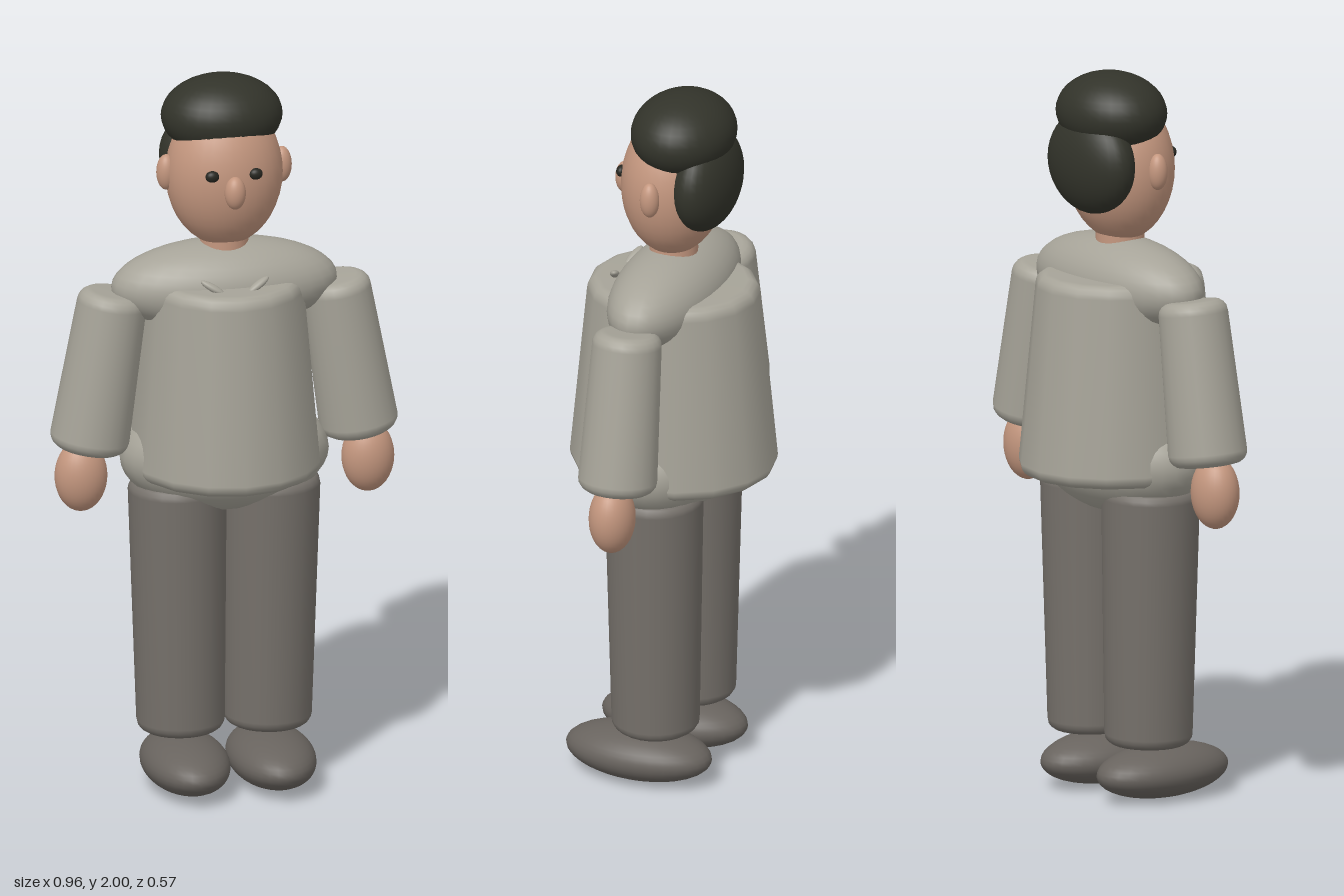
import * as THREE from 'three';

const mat = (name, color) => {
  const m = new THREE.MeshStandardMaterial({ color });
  m.name = name;
  return m;
};

export function createModel() {
  const shirt = mat('shirt grey', 0xa6a398);
  const trousers = mat('trouser grey', 0x75706a);
  const shoes = mat('shoe grey', 0x68635e);
  const skin = mat('skin', 0xc3967e);
  const hair = mat('hair', 0x32332a);
  const eyes = mat('eye dark', 0x262620);

  const model = new THREE.Group();
  model.name = 'figure';

  const add = (name, geometry, material, x, y, z) => {
    const mesh = new THREE.Mesh(geometry, material);
    mesh.name = name;
    mesh.position.set(x, y, z);
    model.add(mesh);
    return mesh;
  };

  // Ellipsoid from its centre and three radii
  const blob = (name, material, [x, y, z], [rx, ry, rz]) =>
    add(name, new THREE.SphereGeometry(1, 32, 20).scale(rx, ry, rz), material, x, y, z);

  // Tapered cylinder with rounded rims, centred on its axis
  const roundedCone = (bottom, top, height, round, sides) => {
    const h = height / 2;
    const points = [new THREE.Vector2(0, -h)];
    for (let i = 0; i <= 4; i++) {
      const a = (i / 4) * Math.PI / 2;
      points.push(new THREE.Vector2(bottom - round + round * Math.sin(a), -h + round - round * Math.cos(a)));
    }
    for (let i = 0; i <= 4; i++) {
      const a = (i / 4) * Math.PI / 2;
      points.push(new THREE.Vector2(top - round + round * Math.cos(a), h - round + round * Math.sin(a)));
    }
    points.push(new THREE.Vector2(0, h));
    return new THREE.LatheGeometry(points, sides);
  };

  // Trunk
  add('torso', roundedCone(0.285, 0.238, 0.555, 0.035, 16).scale(0.92, 1, 1), shirt, 0, 1.168, 0);
  blob('shoulders', shirt, [0, 1.42, 0], [0.312, 0.125, 0.142]);
  blob('hips', shirt, [0, 0.94, 0], [0.288, 0.16, 0.18]);
  add('neck', new THREE.CylinderGeometry(0.065, 0.068, 0.16, 24), skin, 0, 1.52, 0);

  // Head and hair
  blob('head', skin, [0, 1.735, 0], [0.16, 0.205, 0.14]);
  blob('nose', skin, [0, 1.72, 0.143], [0.029, 0.046, 0.028]);
  blob('hairTop', hair, [0, 1.89, -0.03], [0.166, 0.11, 0.14]);
  blob('hairBack', hair, [0, 1.76, -0.1], [0.158, 0.142, 0.082]);

  // Mirrored parts
  for (const [side, s] of [['left', 1], ['right', -1]]) {
    blob(side + 'Ear', skin, [s * 0.16, 1.745, 0], [0.027, 0.05, 0.027]);
    blob(side + 'Eye', eyes, [s * 0.06, 1.766, 0.128], [0.019, 0.016, 0.014]);

    const collar = blob(side + 'Collar', shirt, [s * 0.063, 1.455, 0.147], [0.037, 0.01, 0.013]);
    collar.rotation.set(0, s * 0.35, s * 0.5);

    const arm = add(side + 'Arm', roundedCone(0.108, 0.095, 0.45, 0.035, 24), shirt, s * 0.341, 1.192, 0);
    arm.rotation.z = s * 0.16;
    blob(side + 'Hand', skin, [s * 0.397, 0.897, 0.005], [0.072, 0.1, 0.062]);

    const leg = add(side + 'Leg', roundedCone(0.12, 0.134, 0.715, 0.03, 24), trousers, s * 0.125, 0.513, 0);
    leg.rotation.z = s * -0.014;
    blob(side + 'Shoe', shoes, [s * 0.119, 0.075, 0.05], [0.118, 0.073, 0.21]);
  }

  return model;
}
